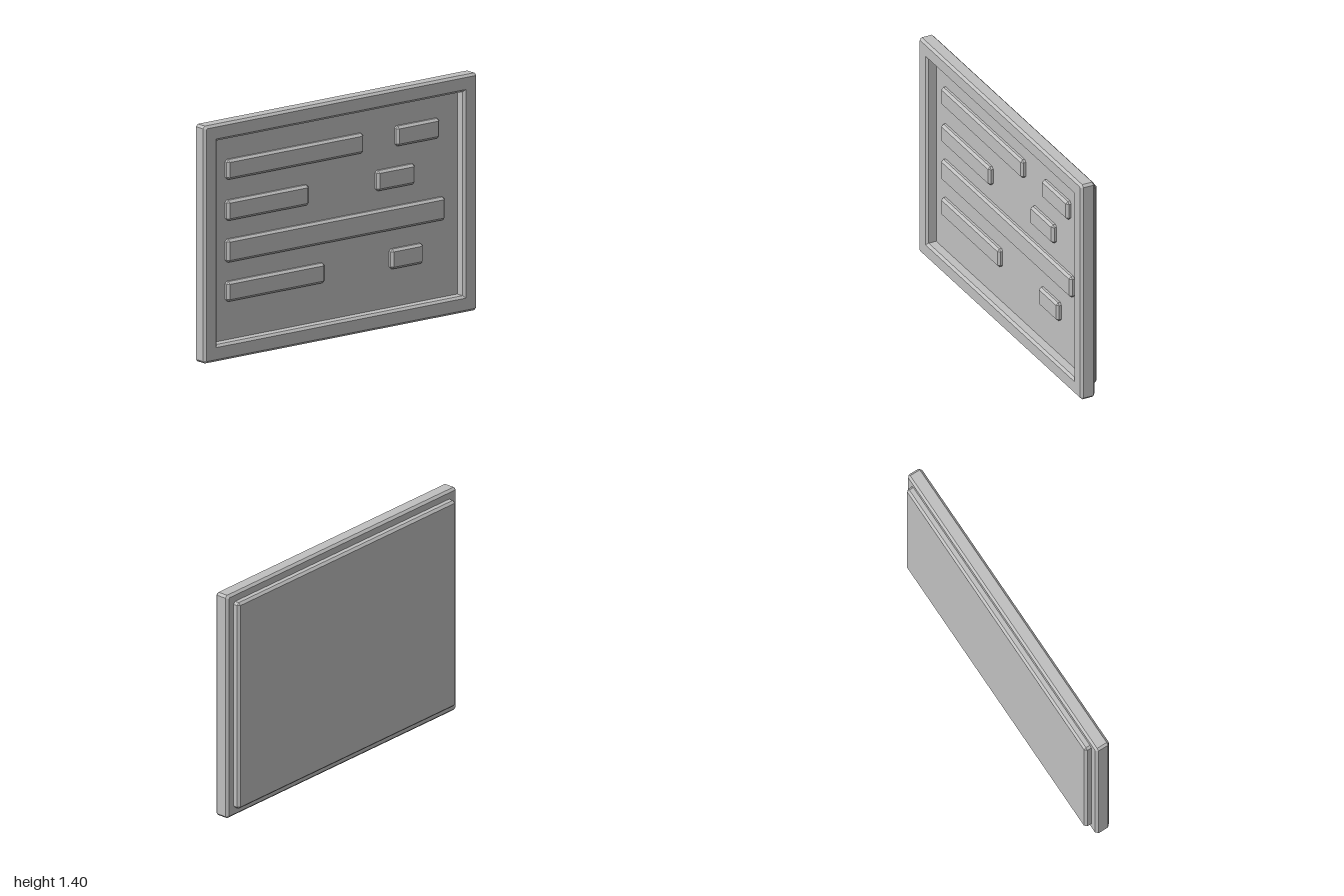
import * as THREE from 'three';
import { ConvexGeometry } from 'three/addons/geometries/ConvexGeometry.js';

const BEVEL = 0.014;

// Box with every edge chamfered, given by its min and max on each axis
function chamferBox(x0, x1, y0, y1, z0, z1, b = BEVEL) {
  const h = [(x1 - x0) / 2, (y1 - y0) / 2, (z1 - z0) / 2];
  const points = [];
  for (const sx of [-1, 1]) for (const sy of [-1, 1]) for (const sz of [-1, 1]) {
    for (let axis = 0; axis < 3; axis++) {
      const p = h.map((v, i) => (i === axis ? v : v - b));
      points.push(new THREE.Vector3(sx * p[0], sy * p[1], sz * p[2]));
    }
  }
  const geometry = new ConvexGeometry(points);
  geometry.translate((x0 + x1) / 2, (y0 + y1) / 2, (z0 + z1) / 2);
  return geometry;
}

// Rectangle outline with slightly cut corners
function cutRect(Type, x, y0, y1, c) {
  return new Type([
    [-x + c, y0], [x - c, y0], [x, y0 + c], [x, y1 - c],
    [x - c, y1], [-x + c, y1], [-x, y1 - c], [-x, y0 + c],
  ].map(([px, py]) => new THREE.Vector2(px, py)));
}

export function createModel() {
  const group = new THREE.Group();
  const grey = new THREE.MeshStandardMaterial({ color: 0xc0c0c0 });
  grey.name = 'plain grey';

  const add = (name, geometry) => {
    const mesh = new THREE.Mesh(geometry, grey);
    mesh.name = name;
    group.add(mesh);
  };

  // Bevelled frame with a rectangular opening
  const back = -0.026, front = 0.067;
  const outline = cutRect(THREE.Shape, 1 - BEVEL, BEVEL, 1.4 - BEVEL, BEVEL * 0.414);
  outline.holes.push(new THREE.Path([
    [-0.915, 0.085], [-0.915, 1.315], [0.915, 1.315], [0.915, 0.085],
  ].map(([x, y]) => new THREE.Vector2(x, y))));
  const frame = new THREE.ExtrudeGeometry(outline, {
    depth: front - back - 2 * BEVEL, bevelEnabled: true,
    bevelThickness: BEVEL, bevelSize: BEVEL, bevelSegments: 1,
  });
  frame.translate(0, 0, back + BEVEL);
  add('frame', frame);

  // Back plate, whose front face is the floor of the recess
  const floor = 0.004;
  add('backPlate', chamferBox(-0.946, 0.946, 0.053, 1.347, -0.067, floor));

  // Raised bars on the floor: left, right, bottom, top
  const bars = [
    [-0.8, 0.2, 1.045, 1.163], [0.44, 0.757, 1.045, 1.163],
    [-0.8, -0.2, 0.803, 0.923], [0.298, 0.577, 0.803, 0.923],
    [-0.8, 0.797, 0.557, 0.693],
    [-0.8, -0.084, 0.326, 0.444], [0.4, 0.637, 0.326, 0.444],
  ];
  bars.forEach(([x0, x1, y0, y1], i) => {
    add(`bar${i + 1}`, chamferBox(x0, x1, y0, y1, floor - 0.03, 0.032));
  });

  return group;
}
